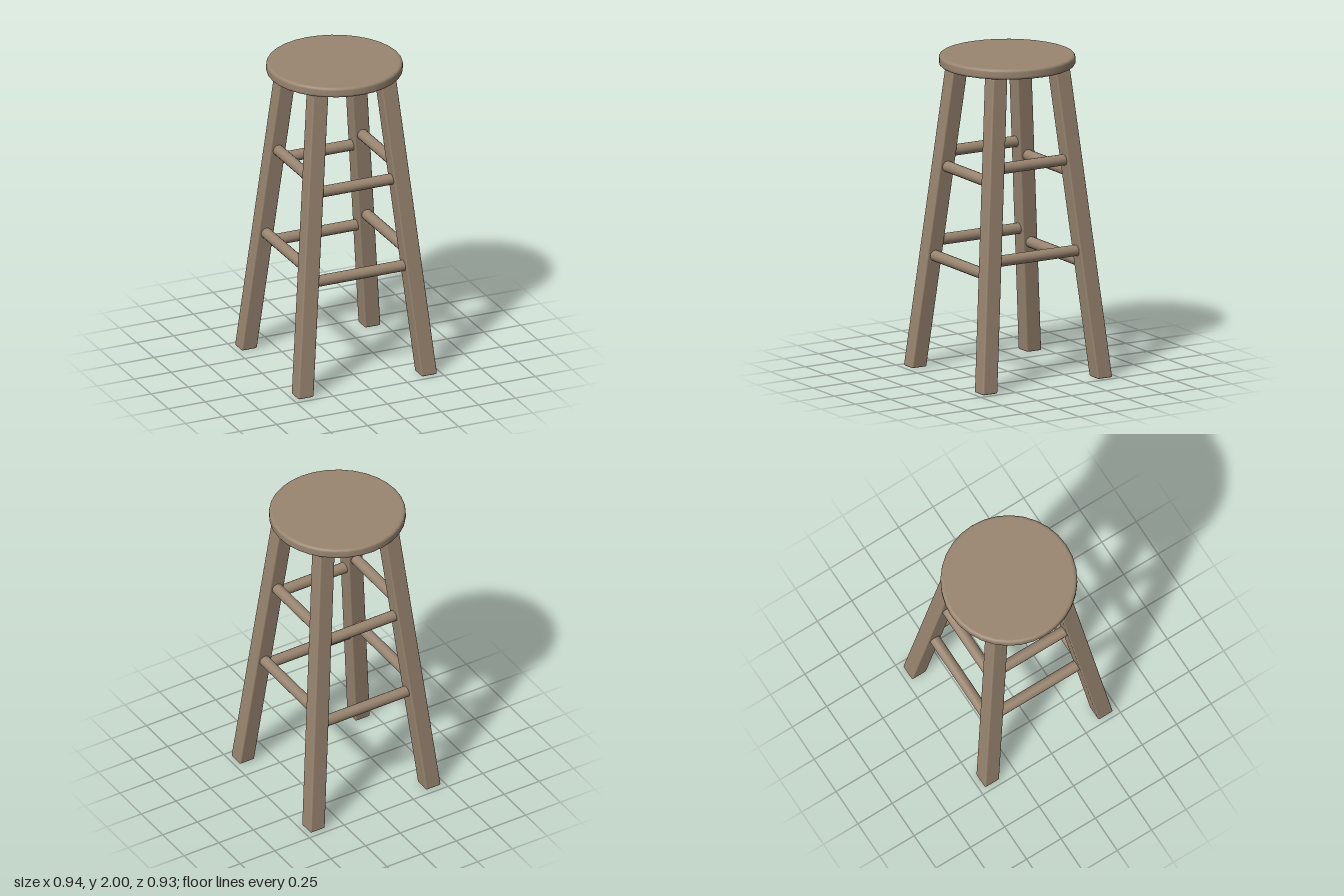
import * as THREE from 'three';
import { RoundedBoxGeometry } from 'three/addons/geometries/RoundedBoxGeometry.js';

const LEG_HEIGHT = 1.935;
const LEG_WIDTH = 0.105;
const FOOT = { x: 0.418, z: 0.413 };
const HEAD = { x: 0.229, z: 0.225 };

// Centre of a leg at height y, for the +x +z corner
const legAt = (axis, y) => THREE.MathUtils.lerp(FOOT[axis], HEAD[axis], y / LEG_HEIGHT);

export function createModel() {
  const group = new THREE.Group();
  const wood = new THREE.MeshStandardMaterial({ color: 0x998570 });
  wood.name = 'wood';

  const add = (name, geometry) => {
    const mesh = new THREE.Mesh(geometry, wood);
    mesh.name = name;
    group.add(mesh);
    return mesh;
  };

  // Round seat with softened rims
  const radius = 0.42, bottom = 1.935, top = 2, round = 0.018;
  const profile = [new THREE.Vector2(0, bottom), new THREE.Vector2(radius - round - 0.004, bottom)];
  for (const [centreY, start] of [[bottom + round, -Math.PI / 2], [top - round, 0]]) {
    for (let i = 0; i <= 4; i++) {
      const a = start + (i / 4) * (Math.PI / 2);
      profile.push(new THREE.Vector2(radius - round + Math.cos(a) * round, centreY + Math.sin(a) * round));
    }
  }
  profile.push(new THREE.Vector2(radius - round - 0.004, top), new THREE.Vector2(0, top));
  add('seat', new THREE.LatheGeometry(profile, 32)).position.x = -0.01;

  // Four splayed legs: soft-edged posts sheared outwards towards the floor
  for (const sx of [-1, 1]) {
    for (const sz of [-1, 1]) {
      const geometry = new RoundedBoxGeometry(LEG_WIDTH, LEG_HEIGHT, LEG_WIDTH, 2, 0.01);
      geometry.translate(0, LEG_HEIGHT / 2, 0);
      const kx = sx * (HEAD.x - FOOT.x) / LEG_HEIGHT;
      const kz = sz * (HEAD.z - FOOT.z) / LEG_HEIGHT;
      geometry.applyMatrix4(new THREE.Matrix4().set(
        1, kx, 0, sx * FOOT.x,
        0, 1, 0, 0,
        0, kz, 1, sz * FOOT.z,
        0, 0, 0, 1
      ));
      add((sz > 0 ? 'front' : 'back') + (sx > 0 ? 'Left' : 'Right') + 'Leg', geometry);
    }
  }

  // Round rungs, ending inside the legs
  const rung = (name, y, along, across, side) => {
    const geometry = new THREE.CylinderGeometry(0.035, 0.035, 2 * legAt(along, y), 16);
    if (along === 'x') geometry.rotateZ(Math.PI / 2);
    else geometry.rotateX(Math.PI / 2);
    const mesh = add(name, geometry);
    mesh.position.y = y;
    mesh.position[across] = side * legAt(across, y);
  };
  for (const side of [-1, 1]) {
    for (const y of [0.713, 1.28]) rung(side > 0 ? 'frontRung' : 'backRung', y, 'x', 'z', side);
    for (const y of [0.798, 1.365]) rung(side > 0 ? 'leftRung' : 'rightRung', y, 'z', 'x', side);
  }

  return group;
}
